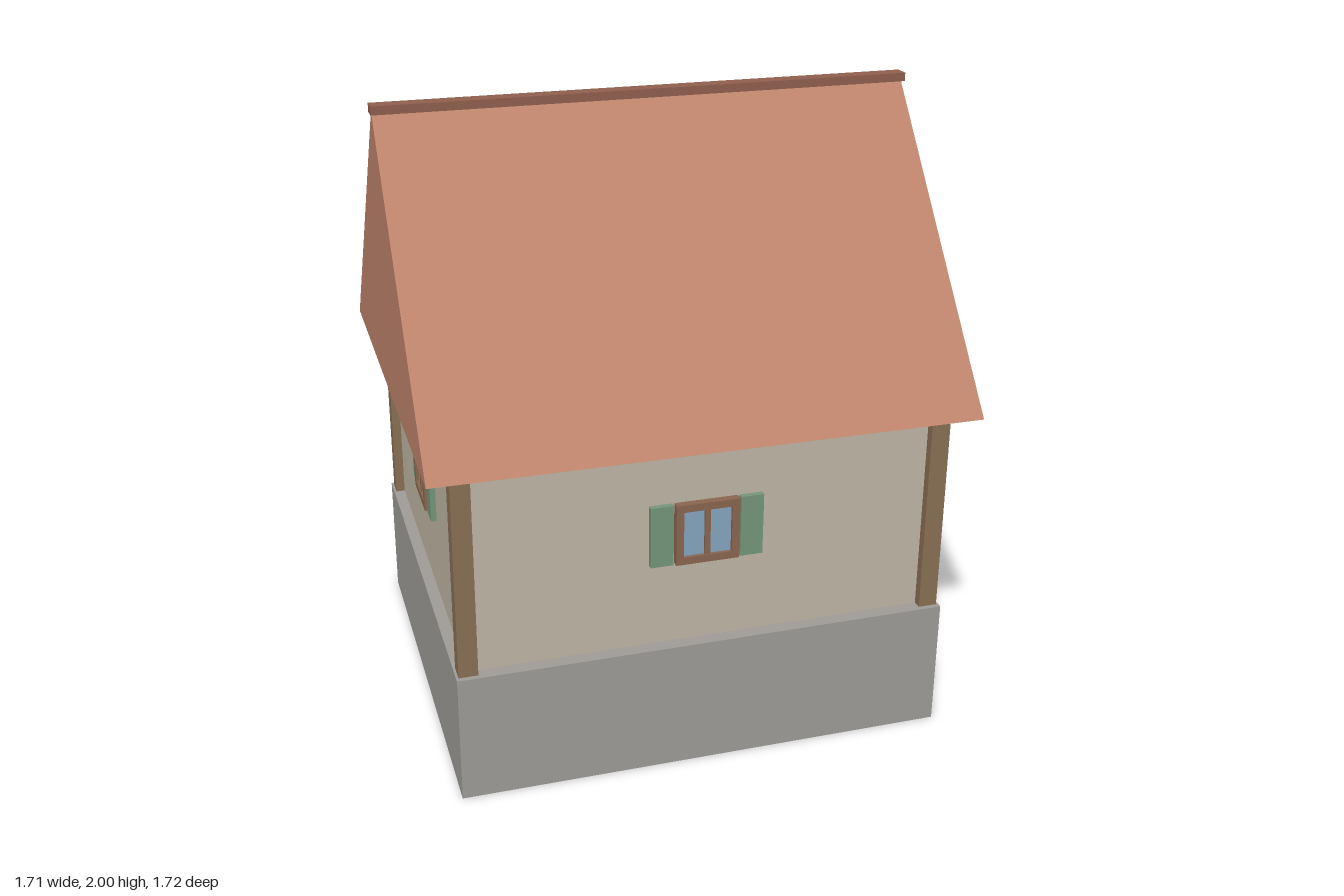
import * as THREE from 'three';

const COLORS = {
  stone: 0xa09d99, plaster: 0xc0b7a5, timber: 0x8a7056, roof: 0xc0846c, ridge: 0x91604e,
  frame: 0x8a6650, glass: 0x86a6c0, shutter: 0x76977a, door: 0x6e5640, knob: 0x54453a,
  green: 0x7aa87c, white: 0xd2d0cc, crate: 0x95856a,
  purple: 0x8a5fae, yellow: 0xb89a58, leaf: 0x55a872,
};
const materials = {};
const mat = (name) => (materials[name] ??= new THREE.MeshStandardMaterial({ color: COLORS[name], flatShading: true }));

function add(parent, name, geometry, color, x = 0, y = 0, z = 0) {
  const mesh = new THREE.Mesh(geometry, mat(color));
  mesh.name = name;
  mesh.position.set(x, y, z);
  parent.add(mesh);
  return mesh;
}
const box = (parent, name, color, [w, h, d], [x, y, z]) =>
  add(parent, name, new THREE.BoxGeometry(w, h, d), color, x, y, z);

// House centre in z, and half sizes of the plaster walls
const CZ = 0.123, HX = 0.745, HZ = 0.64;
const BASE_TOP = 0.42, EAVES = 1.09;

// Shuttered window facing +z, with its back on the wall plane z = 0
function makeWindow(name) {
  const g = new THREE.Group();
  g.name = name;
  box(g, 'glass', 'glass', [0.17, 0.17, 0.014], [0, 0, 0.007]);
  for (const s of [-1, 1]) {
    box(g, 'frameSide', 'frame', [0.024, 0.2, 0.025], [s * 0.088, 0, 0.0125]);
    box(g, 'frameRail', 'frame', [0.152, 0.024, 0.025], [0, s * 0.088, 0.0125]);
    box(g, 'shutter', 'shutter', [0.072, 0.2, 0.018], [s * 0.142, 0, 0.009]);
  }
  box(g, 'mullion', 'frame', [0.018, 0.152, 0.021], [0, 0, 0.0105]);
  return g;
}

export function createModel() {
  const model = new THREE.Group();
  model.name = 'house';

  // Stone base and plaster walls
  box(model, 'stoneBase', 'stone', [1.565, BASE_TOP, 1.37], [0, BASE_TOP / 2, CZ]);
  box(model, 'walls', 'plaster', [HX * 2, EAVES - BASE_TOP, HZ * 2], [0, (EAVES + BASE_TOP) / 2, CZ]);

  // Corner posts and the beams under the eaves
  for (const s of [-1, 1]) {
    for (const t of [-1, 1]) {
      box(model, 'cornerPost', 'timber', [0.06, EAVES - BASE_TOP, 0.058],
        [s * HX, (EAVES + BASE_TOP) / 2, CZ + t * HZ]);
    }
    box(model, 'longBeam', 'timber', [HX * 2 - 0.06, 0.035, 0.04], [0, 1.0725, CZ + s * HZ]);
    box(model, 'sideBeam', 'timber', [0.04, 0.035, HZ * 2 - 0.058], [s * HX, 1.0725, CZ]);
  }

  // Solid gable roof, extruded along x
  const gable = new THREE.Shape([
    new THREE.Vector2(-0.737, EAVES), new THREE.Vector2(0.737, EAVES), new THREE.Vector2(0, 1.98),
  ]);
  const roofGeometry = new THREE.ExtrudeGeometry(gable, { depth: 1.7, bevelEnabled: false });
  roofGeometry.translate(0, 0, -0.85).rotateY(Math.PI / 2);
  add(model, 'roof', roofGeometry, 'roof', 0, 0, CZ);
  box(model, 'ridgeCap', 'ridge', [1.71, 0.027, 0.052], [0, 1.9865, CZ]);

  // Windows: one at the front, one on each side, two at the back
  const back = CZ - HZ;
  const windows = [
    ['frontWindow', 0, CZ + HZ, 0],
    ['leftWindow', HX, CZ, Math.PI / 2],
    ['rightWindow', -HX, CZ, -Math.PI / 2],
    ['backLeftWindow', 0.48, back, Math.PI],
    ['backRightWindow', -0.41, back, Math.PI],
  ];
  for (const [name, x, z, turn] of windows) {
    const w = makeWindow(name);
    w.position.set(x, 0.793, z);
    w.rotation.y = turn;
    model.add(w);
  }

  // Slanted braces on the back wall
  for (const s of [-1, 1]) {
    const brace = box(model, 'brace', 'timber', [0.68, 0.042, 0.03], [s * 0.485, 0.735, back - 0.003]);
    brace.rotation.z = -s * 0.81;
  }

  // Door with lintel and knob
  box(model, 'door', 'door', [0.26, 0.44, 0.03], [0.04, BASE_TOP + 0.22, back - 0.008]);
  box(model, 'lintel', 'door', [0.33, 0.04, 0.05], [0.04, 0.88, back - 0.01]);
  add(model, 'doorKnob', new THREE.SphereGeometry(0.012, 8, 6), 'knob', 0.135, 0.643, back - 0.027);

  // Striped awning over the door
  const awning = new THREE.Group();
  awning.name = 'awning';
  awning.position.set(0, 0.939, -0.687);
  awning.rotation.x = -0.45;
  for (let i = 0; i < 7; i++) {
    box(awning, 'awningStripe', i % 2 ? 'white' : 'green', [0.19, 0.012, 0.375], [(i - 3) * 0.19, 0, 0]);
  }
  model.add(awning);

  // Crates, each with a round fruit on top
  ['purple', 'yellow', 'leaf'].forEach((color, i) => {
    const crate = new THREE.Group();
    crate.name = 'marketCrate';
    crate.position.set(-0.218 * i, 0.41, -0.742);
    crate.rotation.y = 0.31;
    box(crate, 'crate', 'crate', [0.179, 0.17, 0.179], [0, 0, 0]);
    add(crate, 'fruit', new THREE.SphereGeometry(0.04, 8, 5), color, 0, 0.115, 0);
    model.add(crate);
  });

  return model;
}
